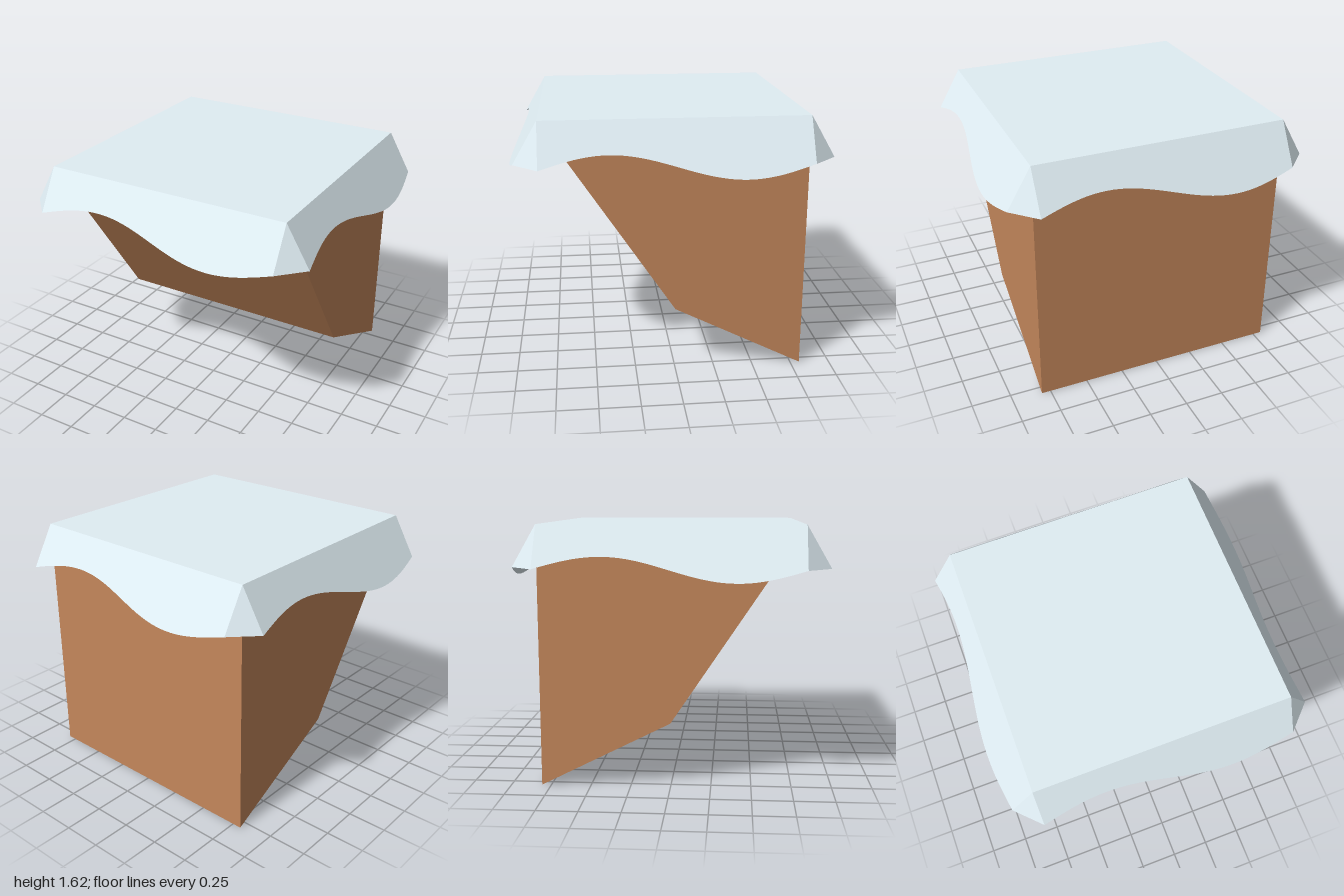
import * as THREE from 'three';

const W = 0.808;      // half width of the block
const H = 1.625;      // height of the top
const DROP = 0.258;   // how far the snow hangs down
const OUT = 0.15;     // how far the snow flares outward

export function createModel() {
  const model = new THREE.Group();
  const wood = new THREE.MeshStandardMaterial({ color: 0xc4875b, flatShading: true });
  const snow = new THREE.MeshStandardMaterial({ color: 0xe0eef4, flatShading: true, side: THREE.DoubleSide });

  const add = (parent, name, geometry, material) => {
    const mesh = new THREE.Mesh(geometry, material);
    mesh.name = name;
    parent.add(mesh);
    return mesh;
  };

  // Block with a sloped underside: side profile (z, y) swept across x
  const top = H - 0.008;
  const profile = new THREE.Shape([
    new THREE.Vector2(-W, 0),
    new THREE.Vector2(0, 0.41),
    new THREE.Vector2(W - 0.005, top),
    new THREE.Vector2(-W, top),
  ]);
  const body = new THREE.ExtrudeGeometry(profile, { depth: 2 * W, bevelEnabled: false });
  body.translate(0, 0, -W).rotateY(-Math.PI / 2);
  add(model, 'slopedBlock', body, wood);

  // Snow cover: flat top, four wavy flaps and four corner gussets
  const cover = new THREE.Group();
  cover.name = 'snowCover';
  model.add(cover);

  const lid = new THREE.PlaneGeometry(2 * W, 2 * W).rotateX(-Math.PI / 2).translate(0, H, 0);
  add(cover, 'snowTop', lid, snow);

  // Flap: the lower edge follows one sine wave within the tilted plane
  const flap = new THREE.PlaneGeometry(2 * W, 1, 40, 1);
  const p = flap.attributes.position;
  for (let i = 0; i < p.count; i++) {
    const x = p.getX(i);
    const t = p.getY(i) > 0 ? 0 : 1 + 0.28 * Math.sin((Math.PI * x) / W);
    p.setXYZ(i, x, H - DROP * t, W + OUT * t);
  }
  flap.computeVertexNormals();

  // Triangle closing the gap between neighbouring flaps
  const gusset = new THREE.BufferGeometry().setFromPoints([
    new THREE.Vector3(W, H, W),
    new THREE.Vector3(W, H - DROP, W + OUT),
    new THREE.Vector3(W + OUT, H - DROP, W),
  ]);
  gusset.computeVertexNormals();

  ['front', 'left', 'back', 'right'].forEach((side, i) => {
    add(cover, side + 'SnowFlap', flap, snow).rotation.y = (i * Math.PI) / 2;
    add(cover, side + 'SnowCorner', gusset, snow).rotation.y = (i * Math.PI) / 2;
  });

  return model;
}
